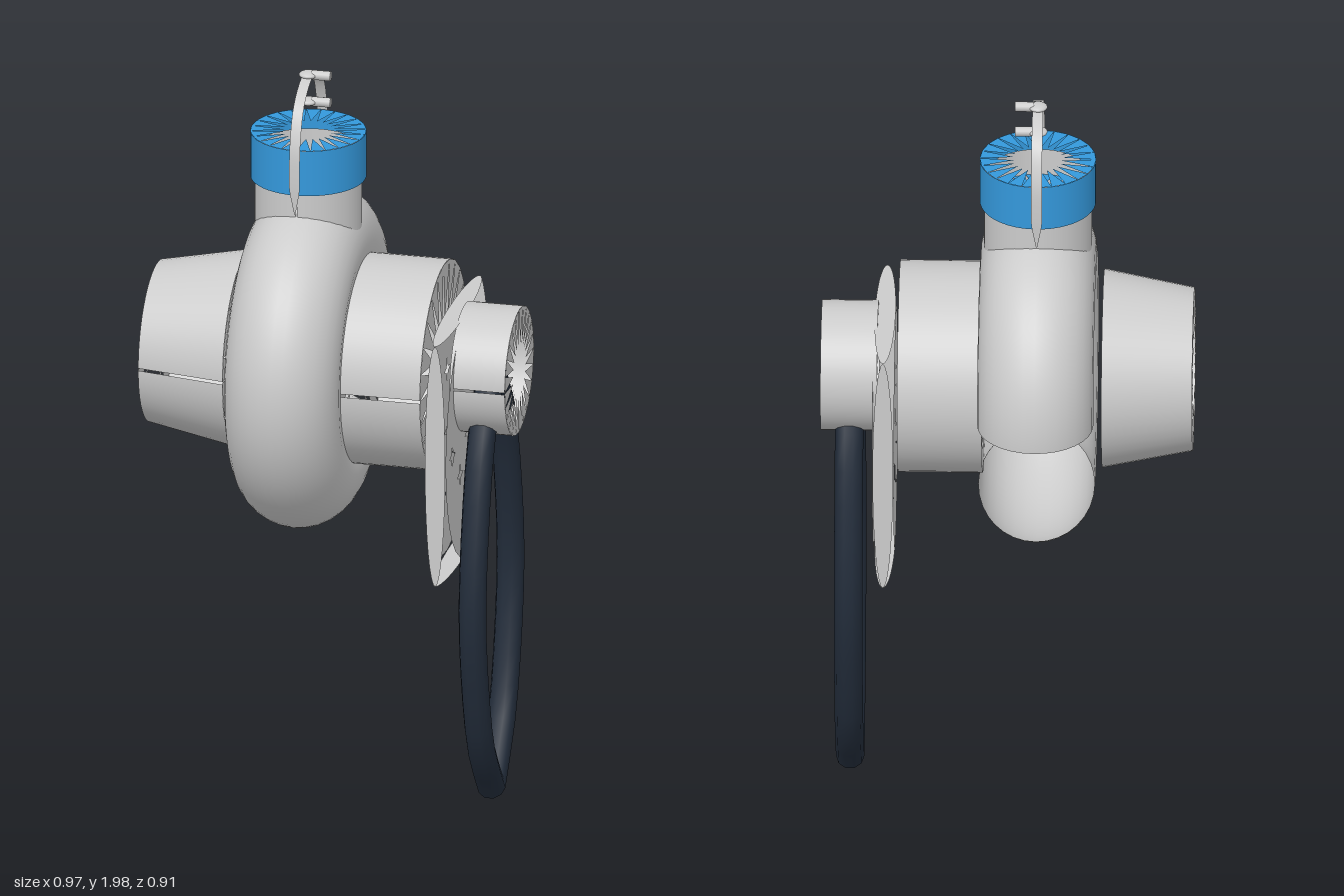
import * as THREE from 'three';

const material = (color) => new THREE.MeshStandardMaterial({ color, side: THREE.DoubleSide });
const AXIS_Y = 1.208; // height of the horizontal shaft
const HOUSING_X = -0.08;

export function createModel() {
  const model = new THREE.Group();
  const grey = material(0xcccccc);
  const blue = material(0x3498db);
  const dark = material(0x222c3a);

  const add = (name, geometry, mat, parent = model) => {
    const mesh = new THREE.Mesh(geometry, mat);
    mesh.name = name;
    parent.add(mesh);
    return mesh;
  };

  // End face made of pointed wedges around a star-shaped opening
  const starFace = (radius, y, up) => {
    const n = 24, points = [];
    const at = (r, k) => {
      const a = (k / n) * Math.PI * 2;
      return [r * Math.sin(a), y, r * Math.cos(a)];
    };
    for (let i = 0; i < n; i++) {
      const rim = [at(radius, i), at(radius, i + 1)];
      if (!up) rim.reverse();
      points.push(...rim[0], ...rim[1], ...at(radius * 0.42, i + 0.5));
    }
    const g = new THREE.BufferGeometry();
    g.setAttribute('position', new THREE.Float32BufferAttribute(points, 3));
    g.computeVertexNormals();
    return g;
  };

  // Drum with a narrow seam slit at the front and two star faces
  const drum = (name, rTop, rBottom, length, mat, faces = true) => {
    const group = new THREE.Group();
    group.name = name;
    const slit = 0.015;
    add(name + 'Side', new THREE.CylinderGeometry(rTop, rBottom, length, 48, 1, true,
      slit, Math.PI * 2 - 2 * slit), mat, group);
    if (faces) {
      add(name + 'TopFace', starFace(rTop, length / 2, true), mat, group);
      add(name + 'BottomFace', starFace(rBottom, -length / 2, false), mat, group);
    }
    model.add(group);
    return group;
  };

  // Drum lying along x, from x0 to x1
  const shaftDrum = (name, x0, x1, r0, r1) => {
    const d = drum(name, r1, r0, x1 - x0, grey);
    d.rotation.z = -Math.PI / 2;
    d.position.set((x0 + x1) / 2, AXIS_Y, 0);
  };

  // Ring housing, open towards the lower back
  const ring = new THREE.TorusGeometry(0.305, 0.151, 32, 72, Math.PI * 1.7);
  ring.rotateY(Math.PI / 2);
  add('ringHousing', ring, grey).position.set(HOUSING_X, AXIS_Y, 0);

  // Parts along the shaft
  shaftDrum('taperedInlet', -0.485, -0.25, 0.213, 0.259);
  shaftDrum('mainDrum', 0.06, 0.28, 0.276, 0.276);
  shaftDrum('endKnob', 0.335, 0.482, 0.17, 0.17);

  // Neck and coloured cap
  drum('neck', 0.14, 0.14, 0.28, grey, false).position.set(HOUSING_X, 1.64, 0);
  drum('cap', 0.151, 0.151, 0.125, blue).position.set(HOUSING_X, 1.768, 0);

  // Perforated oval plates
  const plate = new THREE.Shape().absellipse(0, 0, 0.26, 0.335, 0, Math.PI * 2);
  for (let row = -3; row <= 3; row++) {
    for (let col = -2; col <= 2; col++) {
      const cx = col * 0.09, cy = row * 0.085;
      if ((row + col) % 2 || Math.hypot(cx / 0.26, cy / 0.335) > 0.82) continue;
      const star = new THREE.Path();
      for (let k = 0; k <= 8; k++) {
        const r = k % 2 ? 0.01 : 0.032, a = (k * Math.PI) / 4;
        const p = [cx + r * Math.cos(a), cy + r * Math.sin(a)];
        if (k) star.lineTo(...p); else star.moveTo(...p);
      }
      plate.holes.push(star);
    }
  }
  const plateGeometry = new THREE.ShapeGeometry(plate, 16).rotateY(Math.PI / 2);
  const PLATE_Y = 1.025;
  for (const x of [0.29, 0.345]) add('ovalPlate', plateGeometry, grey).position.set(x, PLATE_Y, 0);

  // Slim leaves standing around the plates
  const leaf = (halfLength) => new THREE.ShapeGeometry(
    new THREE.Shape().absellipse(0, 0, 0.027, halfLength, 0, Math.PI * 2), 16);
  const sideLeaf = leaf(0.335), endLeaf = leaf(0.26).rotateX(Math.PI / 2);
  for (const s of [-1, 1]) {
    add('sideLeaf', sideLeaf, grey).position.set(0.317, PLATE_Y, s * 0.26);
    add('endLeaf', endLeaf, grey).position.set(0.317, PLATE_Y + s * 0.335, 0);
  }

  // Hanging cord loop, pointed at top and bottom
  for (const s of [-1, 1]) {
    const path = new THREE.CatmullRomCurve3([
      [0, 1.205], [0.12, 1.05], [0.198, 0.8], [0.222, 0.6], [0.198, 0.42], [0.125, 0.2], [0, 0.04],
    ].map(([z, y]) => new THREE.Vector3(0.408, y, s * z)));
    add('cordHalf', new THREE.TubeGeometry(path, 14, 0.037, 10), dark);
  }

  // Thin bail strap arching over the cap, narrowing at its feet
  const arch = new THREE.CatmullRomCurve3([
    [0.158, 1.655], [0.163, 1.75], [0.155, 1.85], [0.11, 1.94], [0, 1.985],
    [-0.11, 1.94], [-0.155, 1.85], [-0.163, 1.75], [-0.158, 1.655],
  ].map(([z, y]) => new THREE.Vector3(0, y, z)));
  const strap = new THREE.PlaneGeometry(1, 1, 1, 40);
  const pos = strap.attributes.position;
  for (let i = 0; i < pos.count; i++) {
    const t = 0.5 - pos.getY(i);
    const p = arch.getPoint(t);
    const half = 0.014 * Math.min(1, 0.1 + 10 * Math.min(t, 1 - t));
    pos.setXYZ(i, Math.sign(pos.getX(i)) * half, p.y, p.z);
  }
  strap.computeVertexNormals();
  add('bailStrap', strap, grey).position.x = HOUSING_X;

  // Two small pins with flattened heads
  for (const y of [1.986, 1.912]) {
    const pin = new THREE.CylinderGeometry(0.013, 0.013, 0.05, 12).rotateZ(Math.PI / 2);
    add('pin', pin, grey).position.set(-0.045, y, 0);
    const head = add('pinHead', new THREE.SphereGeometry(0.025, 16, 10), grey);
    head.scale.y = 0.4;
    head.position.set(HOUSING_X, y, 0);
  }

  return model;
}
